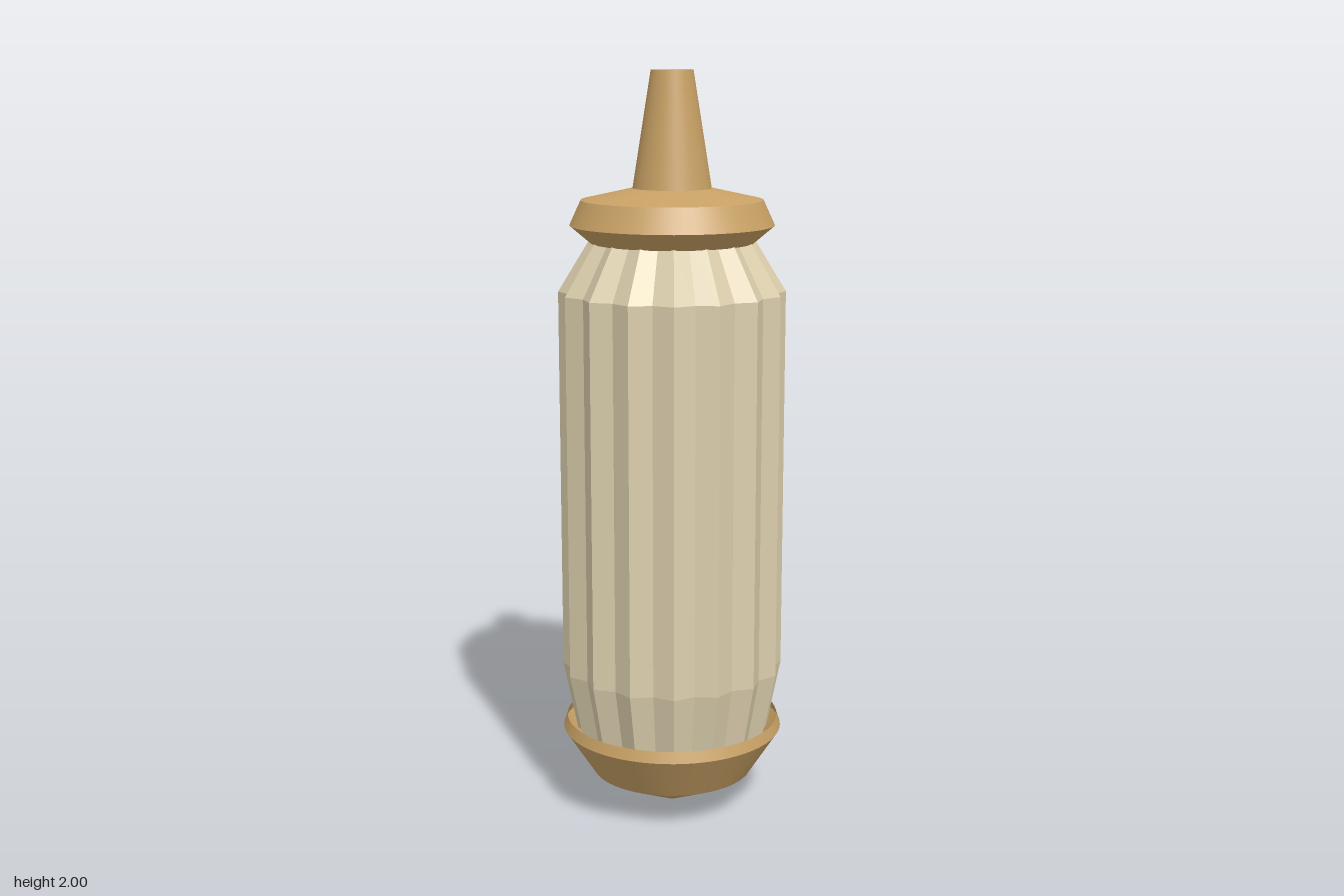
import * as THREE from 'three';
import { mergeGeometries } from 'three/addons/utils/BufferGeometryUtils.js';

const gold = new THREE.MeshStandardMaterial({ color: 0xc8a165, side: THREE.DoubleSide });
gold.name = 'gold';
const cream = new THREE.MeshStandardMaterial({ color: 0xdccfad, side: THREE.DoubleSide, flatShading: true });
cream.name = 'cream';

// Round shell, smooth around the axis with a sharp edge at every profile point
function turned(name, profile) {
  const bands = [];
  for (let i = 0; i < profile.length - 1; i++) {
    const pair = [profile[i], profile[i + 1]].map(([r, y]) => new THREE.Vector2(r, y));
    bands.push(new THREE.LatheGeometry(pair, 64));
  }
  const mesh = new THREE.Mesh(mergeGeometries(bands), gold);
  mesh.name = name;
  return mesh;
}

// Pleated sleeve: ridges alternate with shallower valleys
function pleated(name, profile, ridges, valleyScale) {
  const points = profile.map(([r, y]) => new THREE.Vector2(r, y));
  const lathe = new THREE.LatheGeometry(points, ridges * 2);
  const pos = lathe.attributes.position;
  for (let i = 0; i < pos.count; i++) {
    const column = Math.floor(i / points.length);
    const s = column % 2 ? valleyScale : 1;
    pos.setXYZ(i, pos.getX(i) * s, pos.getY(i), pos.getZ(i) * s);
  }
  const geometry = lathe.toNonIndexed();
  geometry.computeVertexNormals();
  const mesh = new THREE.Mesh(geometry, cream);
  mesh.name = name;
  return mesh;
}

export function createModel() {
  const model = new THREE.Group();
  model.name = 'pleatedCapsule';

  // Open pointed cup at the foot, with a small hole in the tip
  model.add(turned('bottomCup', [[0.016, 0], [0.22, 0.1], [0.3, 0.225], [0.29, 0.255]]));

  // Pleated body, tapered at both ends
  model.add(pleated('pleatedBody', [[0.262, 0.21], [0.3, 0.4], [0.3, 1.43], [0.213, 1.572]], 16, 0.92));

  // Cap with a collar and a hollow nozzle
  model.add(turned('topCap', [[0.215, 1.56], [0.268, 1.605], [0.238, 1.67], [0.103, 1.7]]));
  model.add(turned('nozzle', [[0.103, 1.7], [0.055, 2]]));

  return model;
}
